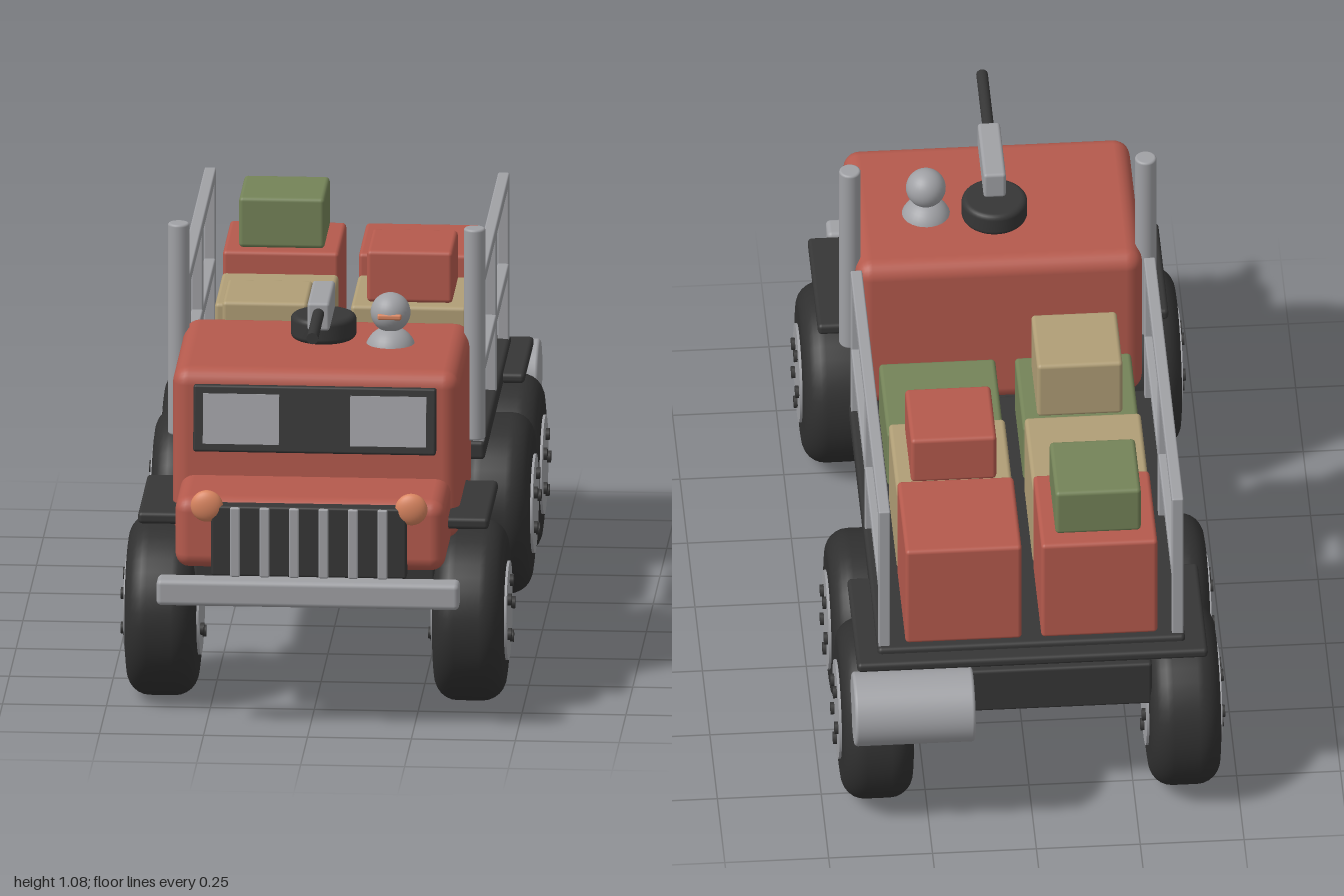
import * as THREE from 'three';
import { RoundedBoxGeometry } from 'three/addons/geometries/RoundedBoxGeometry.js';

function paint(name, color) {
  const m = new THREE.MeshStandardMaterial({ color });
  m.name = name;
  return m;
}

export function createModel() {
  const red = paint('faded red', 0xb55a4d);
  const dark = paint('dark grey', 0x363636);
  const rubber = paint('tyre rubber', 0x303030);
  const grey = paint('steel grey', 0xa0a1a5);
  const green = paint('olive green', 0x748358);
  const tan = paint('sand', 0xb09e76);
  const orange = paint('lamp orange', 0xd98560);

  const model = new THREE.Group();
  model.name = 'cargoTruck';

  function add(name, geometry, material, x = 0, y = 0, z = 0, parent = model) {
    const mesh = new THREE.Mesh(geometry, material);
    mesh.name = name;
    mesh.position.set(x, y, z);
    parent.add(mesh);
    return mesh;
  }
  // Rounded box given by its extents
  function box(name, material, [x0, x1], [y0, y1], [z0, z1], r = 0.008, parent = model) {
    return add(name, new RoundedBoxGeometry(x1 - x0, y1 - y0, z1 - z0, 3, r), material,
      (x0 + x1) / 2, (y0 + y1) / 2, (z0 + z1) / 2, parent);
  }
  // Solid of revolution with rounded rims, axis along y
  function roundedDisc(radius, height, r, segments = 40) {
    const pts = [new THREE.Vector2(0, -height / 2)];
    for (const side of [-1, 1]) {
      for (let i = 0; i <= 6; i++) {
        const a = (side < 0 ? i / 6 - 1 : i / 6) * Math.PI / 2;
        pts.push(new THREE.Vector2(radius - r + r * Math.cos(a), side * (height / 2 - r) + r * Math.sin(a)));
      }
    }
    pts.push(new THREE.Vector2(0, height / 2));
    return new THREE.LatheGeometry(pts, segments);
  }

  // Chassis
  box('chassis', dark, [-0.29, 0.29], [0.3, 0.422], [-0.84, 0.75]);
  for (const z of [-0.35, -0.7]) box('bedSupport', dark, [-0.27, 0.27], [0.41, 0.47], [z - 0.06, z + 0.06]);

  // Wheels: tyre, hub through both sides, five bolts per axle end
  const tyreGeo = roundedDisc(0.218, 0.17, 0.055).rotateZ(Math.PI / 2);
  const hubGeo = new THREE.CylinderGeometry(0.12, 0.12, 0.182, 32).rotateZ(Math.PI / 2);
  const boltGeo = new THREE.CylinderGeometry(0.015, 0.015, 0.2, 12).rotateZ(Math.PI / 2);
  for (const z of [0.615, -0.35, -0.7]) {
    for (const side of [-1, 1]) {
      const wheel = new THREE.Group();
      wheel.name = 'wheel';
      wheel.position.set(side * 0.37, 0.218, z);
      model.add(wheel);
      add('tyre', tyreGeo, rubber, 0, 0, 0, wheel);
      add('hub', hubGeo, grey, 0, 0, 0, wheel);
      for (let i = 0; i < 5; i++) {
        const a = i * Math.PI * 0.4;
        add('bolt', boltGeo, dark, 0, 0.073 * Math.sin(a), -0.073 * Math.cos(a), wheel);
      }
    }
  }

  // Cab and hood
  box('cab', red, [-0.345, 0.345], [0.41, 0.83], [0.222, 0.71], 0.04);
  box('hood', red, [-0.325, 0.325], [0.392, 0.568], [0.62, 0.925], 0.035);

  // Sloping windscreen with two panes
  const screen = new THREE.Group();
  screen.name = 'windscreen';
  screen.position.set(0, 0.715, 0.724);
  screen.rotation.x = -0.14;
  model.add(screen);
  box('windscreenFrame', dark, [-0.292, 0.292], [-0.081, 0.081], [-0.014, 0.014], 0.006, screen);
  for (const side of [-1, 1]) {
    add('pane', new THREE.BoxGeometry(0.183, 0.122, 0.006), grey, side * 0.177, 0, 0.014, screen);
  }

  // Grille, headlamps and bumper
  box('grille', dark, [-0.235, 0.235], [0.384, 0.558], [0.9, 0.952], 0.006);
  for (let i = 0; i < 6; i++) {
    const x = (i - 2.5) * 0.071;
    box('grilleBar', grey, [x - 0.012, x + 0.012], [0.384, 0.556], [0.94, 0.959], 0.004);
  }
  const lampGeo = new THREE.SphereGeometry(0.039, 28, 18).scale(1, 1, 0.5);
  for (const side of [-1, 1]) add('headlamp', lampGeo, orange, side * 0.246, 0.555, 0.94);
  box('bumper', grey, [-0.364, 0.364], [0.32, 0.384], [0.936, 1], 0.012);

  // Fenders and exhaust stacks
  const stackGeo = roundedDisc(0.026, 0.525, 0.006, 24);
  for (const side of [-1, 1]) {
    const fender = box('frontFender', dark, [-0.055, 0.055], [0.465, 0.494], [0.44, 0.79], 0.01);
    fender.position.x = side * 0.367;
    add('exhaustStack', stackGeo, grey, side * 0.356, 0.818, 0.293);
  }
  box('rearFender', dark, [-0.422, 0.422], [0.463, 0.488], [-0.88, -0.535], 0.01);

  // Rear tank
  add('rearTank', roundedDisc(0.09, 0.29, 0.008).rotateZ(Math.PI / 2), grey, 0.29, 0.38, -0.91);

  // Roof mount and its tube
  add('roofRing', roundedDisc(0.079, 0.06, 0.014), dark, 0, 0.862, 0.405);
  box('mountBody', grey, [-0.027, 0.027], [0.9, 0.97], [0.39, 0.598], 0.008);
  add('mountBarrel', new THREE.CylinderGeometry(0.014, 0.014, 0.24, 20).rotateX(Math.PI / 2), dark, 0, 0.943, 0.7);

  // Crew figure in the roof
  add('figureBody', new THREE.SphereGeometry(0.062, 28, 20), grey, 0.163, 0.808, 0.435);
  add('figureHead', new THREE.SphereGeometry(0.048, 28, 20), grey, 0.163, 0.906, 0.435);
  box('figureVisor', orange, [0.134, 0.192], [0.898, 0.912], [0.46, 0.484], 0.005);

  // Cargo bed and side rails
  box('bed', dark, [-0.37, 0.37], [0.456, 0.502], [-0.84, 0.13], 0.01);
  for (const side of [-1, 1]) {
    const rail = new THREE.Group();
    rail.name = 'sideRail';
    rail.position.x = side * 0.353;
    model.add(rail);
    for (const z of [0.108, -0.352, -0.812]) {
      box('railPost', grey, [-0.014, 0.014], [0.495, 0.905], [z - 0.014, z + 0.014], 0.004, rail);
    }
    for (const y of [0.675, 0.895]) {
      box('railBar', grey, [-0.014, 0.014], [y - 0.014, y + 0.014], [-0.826, 0.122], 0.004, rail);
    }
  }

  // Crates: x, z, size, bottom, top, material
  const crates = [
    [-0.165, -0.68, 0.28, 0.5, 0.78, red], [0.162, -0.68, 0.28, 0.5, 0.78, red],
    [-0.165, -0.39, 0.28, 0.5, 0.73, tan], [0.162, -0.39, 0.28, 0.5, 0.73, tan],
    [-0.165, -0.065, 0.28, 0.5, 0.66, green], [0.162, -0.065, 0.28, 0.5, 0.66, green],
    [-0.165, -0.675, 0.206, 0.78, 0.905, green],
    [0.162, -0.385, 0.206, 0.73, 0.858, red],
    [-0.165, -0.062, 0.206, 0.66, 0.815, tan],
  ];
  for (const [x, z, s, y0, y1, material] of crates) {
    box('crate', material, [x - s / 2, x + s / 2], [y0, y1], [z - s / 2, z + s / 2], 0.01);
  }
  return model;
}
